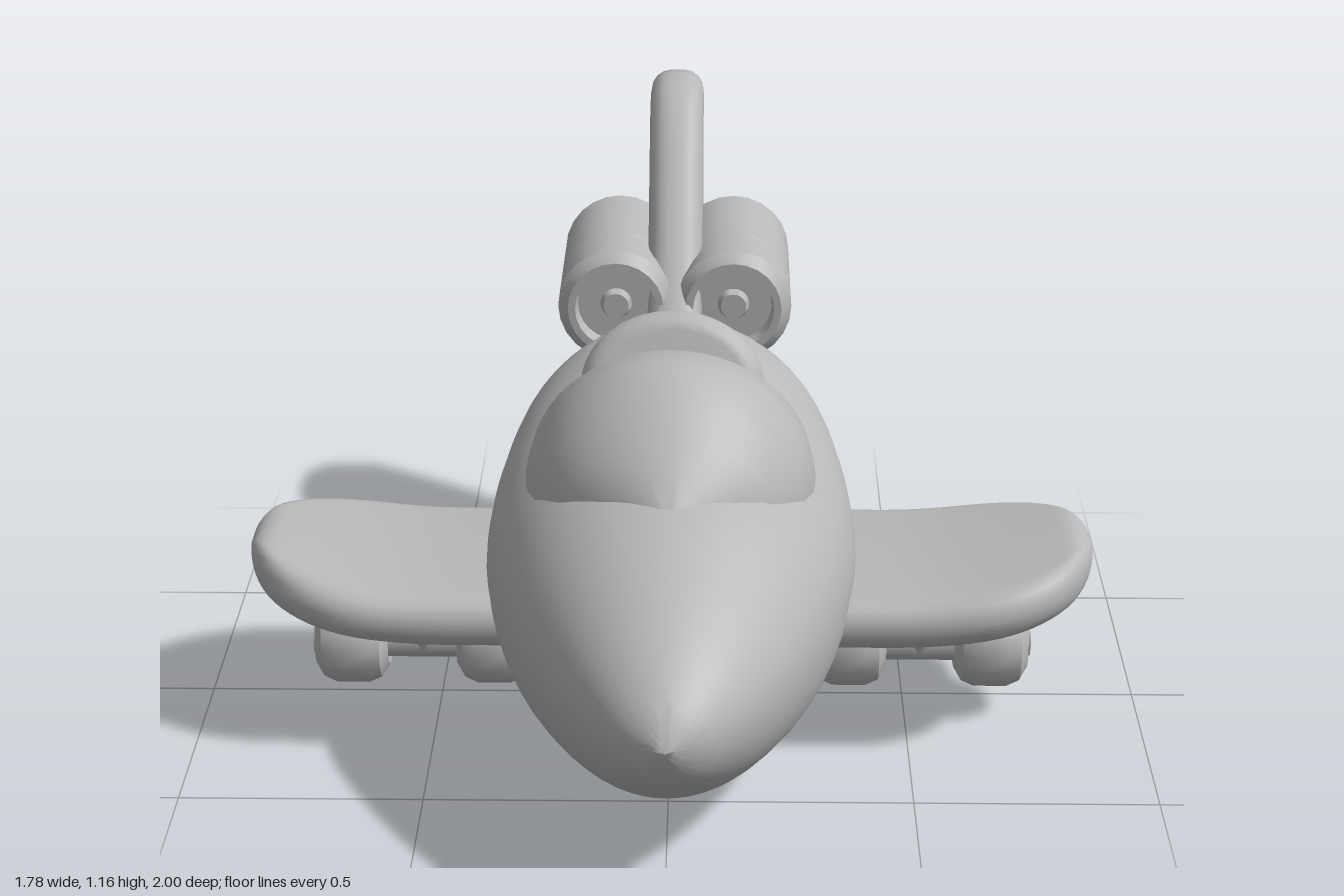
import * as THREE from 'three';
import { toCreasedNormals } from 'three/addons/utils/BufferGeometryUtils.js';

const smooth = THREE.MathUtils.smoothstep;

// Skin a list of equally long point rows; closed rows wrap around
function loft(rows, closed = true) {
  const n = rows[0].length, index = [];
  for (let s = 0; s < rows.length - 1; s++) {
    for (let i = 0; i < (closed ? n : n - 1); i++) {
      const j = (i + 1) % n, a = s * n + i, b = s * n + j;
      index.push(a, b, a + n, b, b + n, a + n);
    }
  }
  const g = new THREE.BufferGeometry().setFromPoints(rows.flat());
  g.setIndex(index);
  return toCreasedNormals(g, 0.8);
}

// Turned part from [radius, height] pairs
function turned(pairs, sides) {
  const g = new THREE.LatheGeometry(pairs.map(p => new THREE.Vector2(...p)), sides);
  return toCreasedNormals(g, 0.6);
}

// Body: stations of z, top, bottom, half width
function fuselageGeometry() {
  const st = [
    [-0.70, 0.615, 0.22, 0.21], [-0.5, 0.69, 0.135, 0.285], [-0.3, 0.735, 0.07, 0.345],
    [-0.1, 0.71, 0.025, 0.38], [0.1, 0.69, 0.002, 0.388], [0.3, 0.70, 0.01, 0.37],
    [0.5, 0.67, 0.05, 0.325], [0.7, 0.59, 0.12, 0.245], [0.85, 0.515, 0.20, 0.165],
    [0.95, 0.44, 0.28, 0.085], [1.0, 0.37, 0.37, 0]];
  const curve = k => new THREE.SplineCurve(st.map(s => new THREE.Vector2(s[0], s[k])));
  const [top, bottom, width] = [1, 2, 3].map(curve);
  const rows = [];
  for (let s = 0; s <= 60; s++) {
    const t = s / 60, { x: z, y: hi } = top.getPoint(t);
    const lo = bottom.getPoint(t).y, w = Math.max(0, width.getPoint(t).y);
    const mid = lo + 0.54 * (hi - lo), row = [];
    for (let i = 0; i < 56; i++) {
      const a = i / 56 * Math.PI * 2, x = w * Math.cos(a), up = Math.sin(a);
      let y = mid + up * (up > 0 ? hi - mid : mid - lo);
      // Sunken cockpit floor
      if (up > 0) y -= 0.14 * (1 - smooth(Math.abs(x), 0.12, 0.22)) * smooth(z, -0.1, 0.02) * (1 - smooth(z, 0.33, 0.42));
      row.push(new THREE.Vector3(x, y, z));
    }
    rows.push(row);
  }
  return loft(rows);
}

// Canopy: arches with apex z, apex y, base z, half width; inside first, then outside
function canopyGeometry() {
  const arches = [
    [0.42, 0.64, 0.40, 0.10], [0.36, 0.73, 0.32, 0.17], [0.29, 0.79, 0.2, 0.22], [0.23, 0.82, 0.1, 0.235],
    [0.19, 0.835, 0.06, 0.25], [0.18, 0.855, 0.05, 0.275], [0.205, 0.872, 0.08, 0.295],
    [0.27, 0.868, 0.16, 0.30], [0.32, 0.848, 0.24, 0.295], [0.37, 0.81, 0.32, 0.275],
    [0.43, 0.76, 0.40, 0.23], [0.48, 0.715, 0.46, 0.17], [0.53, 0.66, 0.51, 0.08]];
  const base = 0.56;
  return loft(arches.map(([az, ay, bz, w]) => Array.from({ length: 29 }, (_, i) => {
    const a = i / 28 * Math.PI, up = Math.sin(a);
    return new THREE.Vector3(w * Math.cos(a), base + (ay - base) * up, bz + (az - bz) * up);
  })), false);
}

// Wing: stadium sections along x, rounded in plan and swept up at the tip
function wingGeometry() {
  const rows = [];
  for (let s = 0; s <= 28; s++) {
    const x = 0.25 + 0.64 * Math.sin(s / 28 * Math.PI / 2);
    const tip = Math.max(0, (x - 0.6) / 0.29);
    const chord = 0.275 * Math.pow(Math.max(0, 1 - Math.pow(tip, 2.4)), 0.5);
    const edge = Math.max(0, (x - 0.83) / 0.06);
    const t = 0.056 * Math.sqrt(Math.max(0, 1 - edge * edge));
    const y = 0.305 + 0.07 * Math.pow(Math.max(0, (x - 0.45) / 0.44), 2);
    const r = Math.min(t, chord), row = [];
    for (const side of [1, -1]) {
      for (let i = 0; i <= 8; i++) {
        const a = i / 8 * Math.PI;
        row.push(new THREE.Vector3(x, y + side * t * Math.cos(a), side * (chord - r + r * Math.sin(a))));
      }
    }
    rows.push(row);
  }
  return loft(rows);
}

// Tail fin, outlined in side view (rearward, up)
function finGeometry() {
  const outline = [
    [0.36, 0.72], [0.47, 0.87], [0.6, 1.02], [0.69, 1.12], [0.76, 1.153], [0.84, 1.16], [0.92, 1.145], [0.98, 1.09],
    [1.0, 1.02], [0.96, 0.84], [0.915, 0.67], [0.86, 0.635], [0.73, 0.58], [0.5, 0.6]];
  const shape = new THREE.Shape(outline.map(p => new THREE.Vector2(...p)));
  const g = new THREE.ExtrudeGeometry(shape, {
    depth: 0.03, bevelThickness: 0.045, bevelSize: 0.045, bevelOffset: -0.045, bevelSegments: 4 });
  g.translate(0, 0, -0.015).rotateY(Math.PI / 2);
  return toCreasedNormals(g, 0.7);
}

// Padded half-round seat back, leaning to the rear
function headrestGeometry() {
  const shape = new THREE.Shape();
  shape.moveTo(0.195, -0.08);
  shape.lineTo(0.195, 0.05);
  shape.absellipse(0, 0.05, 0.195, 0.16, 0, Math.PI, false);
  shape.lineTo(-0.195, -0.08);
  const g = new THREE.ExtrudeGeometry(shape, {
    depth: 0.02, bevelThickness: 0.04, bevelSize: 0.04, bevelOffset: -0.04, bevelSegments: 4, curveSegments: 20 });
  g.translate(0, 0, -0.01).rotateX(-0.4);
  return toCreasedNormals(g, 0.7);
}

export function createModel() {
  const model = new THREE.Group();
  model.name = 'toyPlane';
  const grey = new THREE.MeshStandardMaterial({ color: 0xb8b8b8 });
  grey.name = 'plainGrey';
  const add = (parent, name, geometry, x = 0, y = 0, z = 0) => {
    const mesh = new THREE.Mesh(geometry, grey);
    mesh.name = name;
    mesh.position.set(x, y, z);
    parent.add(mesh);
    return mesh;
  };

  add(model, 'fuselage', fuselageGeometry());
  add(model, 'canopy', canopyGeometry());
  add(model, 'headrest', headrestGeometry(), 0, 0.635, -0.07);
  add(model, 'tailFin', finGeometry());

  // Hollow exhaust closing the rear of the body
  const exhaust = turned([[0, -0.58], [0.105, -0.58], [0.125, -0.72], [0.185, -0.72], [0.211, -0.695]], 28);
  exhaust.rotateX(Math.PI / 2).scale(1, 0.945, 1);
  add(model, 'exhaust', exhaust, 0, 0.418, 0);

  // Twin engines with recessed ends and a seam
  const engine = turned([
    [0, -0.19], [0.032, -0.19], [0.032, -0.222], [0.105, -0.222], [0.128, -0.198], [0.128, 0.071], [0.124, 0.075],
    [0.128, 0.079], [0.128, 0.2], [0.106, 0.225], [0.09, 0.225], [0.085, 0.185], [0.035, 0.185], [0.028, 0.205],
    [0, 0.205]], 24).rotateX(Math.PI / 2);

  const wing = wingGeometry();
  const wheel = turned([
    [0, -0.08], [0.036, -0.08], [0.04, -0.072], [0.06, -0.078], [0.088, -0.062], [0.1, -0.035],
    [0.1, 0.035], [0.088, 0.062], [0.06, 0.078], [0.04, 0.072], [0.036, 0.08], [0, 0.08]], 16).rotateZ(Math.PI / 2);
  const axle = new THREE.CylinderGeometry(0.045, 0.045, 0.3, 12).rotateZ(Math.PI / 2);
  const hub = new THREE.CylinderGeometry(0.035, 0.035, 0.17, 6).rotateZ(Math.PI / 2);
  const strut = turned([[0, -0.07], [0.04, -0.06], [0.055, -0.02], [0.07, 0.04], [0.07, 0.08]], 14);
  const bracket = new THREE.BoxGeometry(0.19, 0.06, 0.15);

  for (const side of [1, -1]) {
    const label = side > 0 ? 'left' : 'right';
    add(model, label + 'Engine', engine, side * 0.13, 0.746, -0.615);

    // Each half carries a wing and a pair of wheels; the other is turned half round
    const half = new THREE.Group();
    half.name = label + 'WingAssembly';
    half.position.z = 0.057;
    half.rotation.y = side > 0 ? 0 : Math.PI;
    add(half, 'wing', wing);
    add(half, 'strut', strut, 0.53, 0.2, 0);
    add(half, 'bracket', bracket, 0.53, 0.24, 0);
    add(half, 'axle', axle, 0.53, 0.16, 0);
    for (const x of [0.38, 0.682]) {
      add(half, 'wheel', wheel, x, 0.16, 0);
      add(half, 'hubCap', hub, x, 0.16, 0);
    }
    model.add(half);
  }
  return model;
}
